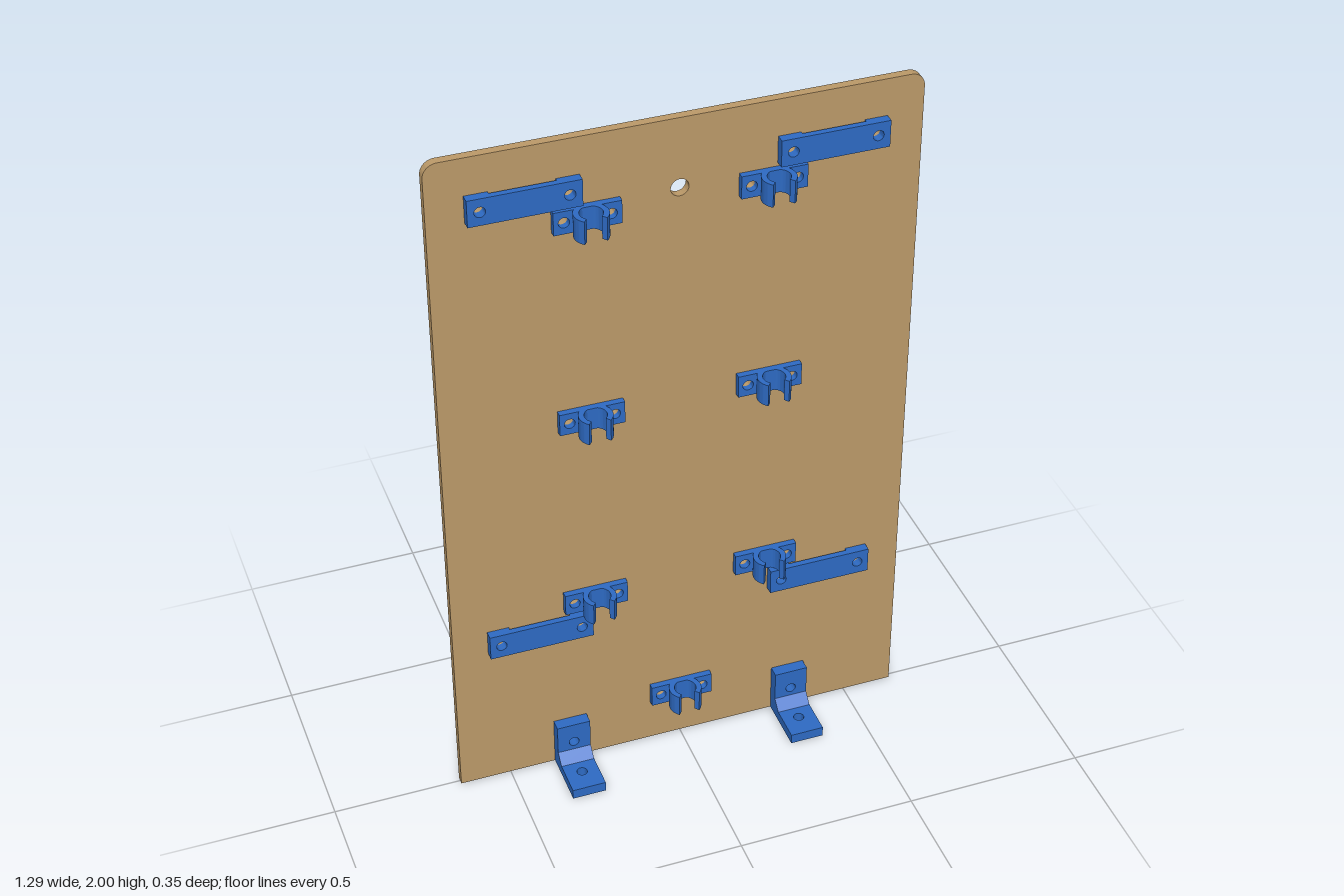
import * as THREE from 'three';
import { toCreasedNormals } from 'three/addons/utils/BufferGeometryUtils.js';

const boardMat = new THREE.MeshStandardMaterial({ color: 0xbc9a69 });
boardMat.name = 'tan board';
const blueMat = new THREE.MeshStandardMaterial({ color: 0x2e6bc4 });
blueMat.name = 'blue plastic';

const FACE = 0.012; // half thickness of the board
const HOLE = 0.0145; // screw hole radius

// Layout of the mounted parts
const clipSpots = [[0, 0.165]];
for (const y of [1.778, 1.172, 0.57]) for (const s of [-1, 1]) clipSpots.push([s * 0.243, y]);
const strapSpots = [];
for (const y of [1.858, 0.488]) for (const s of [-1, 1]) strapSpots.push([s * 0.401, y]);
const footX = 0.323, footHoleY = 0.085;
const clipHole = 0.061, strapHole = 0.113;

function addHole(shape, x, y, r = HOLE) {
  shape.holes.push(new THREE.Path().absarc(x, y, r, 0, Math.PI * 2, true));
}

function rect(x0, y0, x1, y1) {
  return new THREE.Shape([[x0, y0], [x1, y0], [x1, y1], [x0, y1]].map(p => new THREE.Vector2(...p)));
}

function extrude(shape, depth) {
  return new THREE.ExtrudeGeometry(shape, { depth, bevelEnabled: false, curveSegments: 12 });
}

function part(name, geo, mat = blueMat) {
  const mesh = new THREE.Mesh(toCreasedNormals(geo, 0.6), mat);
  mesh.name = name;
  return mesh;
}

// Upright panel with rounded top corners and every drilled hole
function makeBoard() {
  const w = 0.643, r = 0.038;
  const s = new THREE.Shape();
  s.moveTo(-w, 0);
  s.lineTo(w, 0);
  s.lineTo(w, 2 - r);
  s.absarc(w - r, 2 - r, r, 0, Math.PI / 2, false);
  s.lineTo(-w + r, 2);
  s.absarc(-w + r, 2 - r, r, Math.PI / 2, Math.PI, false);
  s.closePath();
  addHole(s, 0, 1.803, 0.024);
  for (const d of [-1, 1]) {
    for (const [x, y] of clipSpots) addHole(s, x + d * clipHole, y);
    for (const [x, y] of strapSpots) addHole(s, x + d * strapHole, y);
    addHole(s, d * footX, footHoleY);
  }
  return part('board', extrude(s, FACE * 2).translate(0, 0, -FACE), boardMat);
}

// Spring clip: screwed base with two curved arms
function makeClip() {
  const g = new THREE.Group();
  g.name = 'clip';
  const h = 0.065, base = rect(-0.088, -h / 2, 0.088, h / 2);
  addHole(base, -clipHole, 0);
  addHole(base, clipHole, 0);
  g.add(part('clipBase', extrude(base, 0.018).translate(0, 0, FACE)));
  const rad = THREE.MathUtils.degToRad;
  for (const [a, b] of [[-62, 50], [130, 242]]) {
    const arm = new THREE.Shape();
    arm.absarc(0, 0.057, 0.045, rad(a), rad(b), false);
    arm.absarc(0, 0.057, 0.03, rad(b), rad(a), true);
    arm.closePath();
    g.add(part('clipArm', extrude(arm, h).rotateX(Math.PI / 2).translate(0, h / 2, 0)));
  }
  return g;
}

// Flat strap held off the board by a pad at each end
function makeStrap() {
  const g = new THREE.Group();
  g.name = 'strap';
  const w = 0.145, h = 0.0375;
  const plate = rect(-w, -h, w, h);
  for (const d of [-1, 1]) {
    addHole(plate, d * strapHole, 0);
    const pad = d < 0 ? rect(-w, -h, -w + 0.06, h) : rect(w - 0.06, -h, w, h);
    addHole(pad, d * strapHole, 0);
    g.add(part('strapPad', extrude(pad, 0.008).translate(0, 0, FACE)));
  }
  g.add(part('strapPlate', extrude(plate, 0.017).translate(0, 0, FACE + 0.008)));
  return g;
}

// Angle bracket: drilled upright, drilled sole and a chamfered corner block
function makeFoot() {
  const g = new THREE.Group();
  g.name = 'footBracket';
  const w = 0.0475, zBack = 0.045, zBend = 0.073, yBend = 0.058, sole = 0.03;
  const upright = rect(-w, yBend, w, 0.147);
  addHole(upright, 0, footHoleY);
  g.add(part('footUpright', extrude(upright, zBack - FACE).translate(0, 0, FACE)));

  const flat = rect(-w, zBend, w, 0.174);
  addHole(flat, 0, 0.11);
  g.add(part('footSole', extrude(flat, sole).rotateX(Math.PI / 2).translate(0, sole, 0)));

  const corner = new THREE.Shape([[FACE, 0], [zBend, 0], [zBend, sole], [zBack, yBend], [FACE, yBend]]
    .map(p => new THREE.Vector2(...p)));
  g.add(part('footCorner', extrude(corner, w * 2).rotateY(-Math.PI / 2).translate(w, 0, 0)));
  return g;
}

export function createModel() {
  const model = new THREE.Group();
  model.name = 'mountingBoard';
  model.add(makeBoard());
  const place = (obj, x, y) => {
    obj.position.set(x, y, 0);
    model.add(obj);
    return obj;
  };
  for (const [x, y] of clipSpots) place(makeClip(), x, y);
  for (const [x, y] of strapSpots) place(makeStrap(), x, y);
  // Feet in pairs, front and back
  for (const s of [-1, 1]) {
    place(makeFoot(), s * footX, 0);
    place(makeFoot(), s * footX, 0).rotation.y = Math.PI;
  }
  return model;
}
